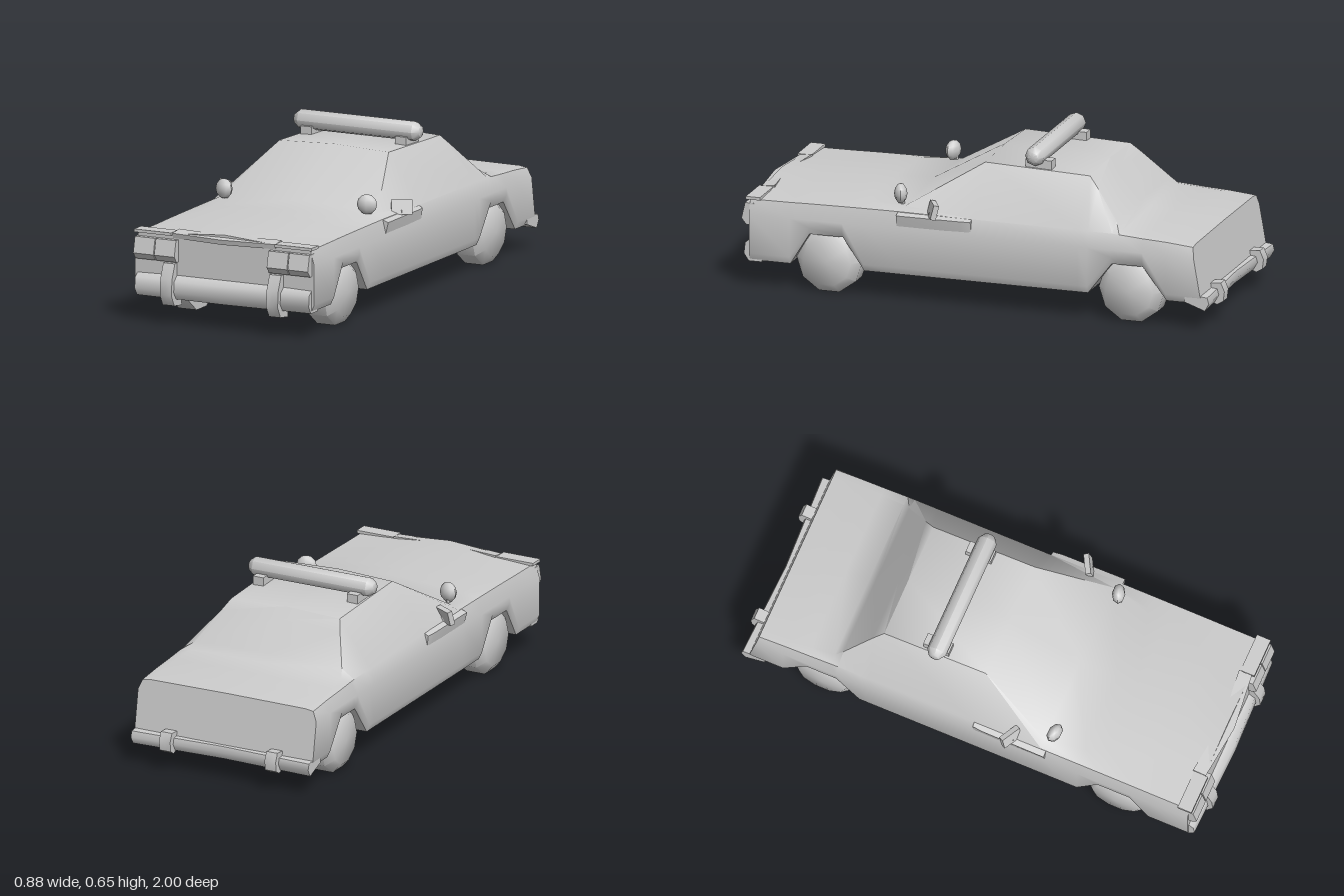
import * as THREE from 'three';
import { toCreasedNormals } from 'three/addons/utils/BufferGeometryUtils.js';

const paint = new THREE.MeshStandardMaterial({ color: 0xcccccc });
paint.name = 'light grey';

// Skin a row of rings (counter-clockwise seen from +z, running front to back) and cap both ends
function loft(rings) {
  const n = rings[0].length, pos = [], index = [];
  rings.forEach(r => r.forEach(p => pos.push(...p)));
  for (let i = 0; i < rings.length - 1; i++) {
    for (let j = 0; j < n; j++) {
      const a = i * n + j, b = i * n + (j + 1) % n;
      index.push(a, a + n, b, b, a + n, b + n);
    }
  }
  [0, rings.length - 1].forEach((row, end) => {
    const c = pos.length / 3;
    pos.push(...[0, 1, 2].map(k => rings[row].reduce((s, p) => s + p[k], 0) / n));
    for (let j = 0; j < n; j++) {
      const a = row * n + j, b = row * n + (j + 1) % n;
      index.push(...(end ? [c, b, a] : [c, a, b]));
    }
  });
  const g = new THREE.BufferGeometry();
  g.setAttribute('position', new THREE.Float32BufferAttribute(pos, 3));
  g.setIndex(index);
  return g;
}

// Side profile of [z, y] points, spread across x; bow shifts the middle along z
function sideProfile(points, width, bow = 0) {
  const shape = new THREE.Shape(points.map(p => new THREE.Vector2(...p)));
  const g = new THREE.ExtrudeGeometry(shape, { depth: width, steps: 2, bevelEnabled: false });
  g.translate(0, 0, -width / 2).rotateY(-Math.PI / 2);
  const p = g.attributes.position;
  for (let i = 0; i < p.count; i++) {
    p.setZ(i, p.getZ(i) + bow * (1 - Math.abs(p.getX(i)) / (width / 2)));
  }
  return g;
}

function mirrored(g) {
  const m = g.clone().scale(-1, 1, 1), index = [];
  for (let i = 0; i < m.attributes.position.count; i += 3) index.push(i, i + 2, i + 1);
  m.setIndex(index);
  return m;
}

export function createModel() {
  const car = new THREE.Group();
  car.name = 'car';
  const add = (name, geometry, crease = 0.7) => {
    const mesh = new THREE.Mesh(toCreasedNormals(geometry, crease), paint);
    mesh.name = name;
    car.add(mesh);
    return mesh;
  };
  const addPair = (name, geometry, crease) => {
    const left = add(name + 'Left', geometry, crease);
    const right = new THREE.Mesh(mirrored(left.geometry), paint);
    right.name = name + 'Right';
    car.add(right);
  };

  // Body stations: z, underside y, shoulder y, upper edge x, upper edge y, centre y
  const stations = [
    [0.95, 0.11, 0.36, 0.23, 0.368, 0.385],
    [0.78, 0.11, 0.362, 0.24, 0.372, 0.39],
    [0.70, 0.24, 0.364, 0.26, 0.375, 0.392],
    [0.56, 0.24, 0.366, 0.29, 0.378, 0.395],
    [0.47, 0.11, 0.367, 0.32, 0.38, 0.397],
    [0.31, 0.11, 0.368, 0.35, 0.385, 0.405],
    [0.01, 0.11, 0.366, 0.245, 0.565, 0.575],
    [-0.43, 0.11, 0.364, 0.245, 0.55, 0.56],
    [-0.47, 0.11, 0.364, 0.268, 0.51, 0.518],
    [-0.57, 0.24, 0.364, 0.33, 0.40, 0.407],
    [-0.60, 0.24, 0.362, 0.345, 0.37, 0.375],
    [-0.70, 0.24, 0.355, 0.35, 0.362, 0.366],
    [-0.80, 0.11, 0.35, 0.35, 0.355, 0.358],
    [-0.91, 0.11, 0.34, 0.35, 0.345, 0.347],
  ];
  const rings = stations.map(([z, under, shoulder, edgeX, edgeY, mid], i) => {
    const half = [[0, under], [0.388, under], [0.402, under + 0.03], [0.402, 0.30],
      [0.385, shoulder], [edgeX, edgeY], [0, mid]];
    const ring = [...half, ...half.slice(1, 6).reverse().map(([x, y]) => [-x, y])];
    const last = i === stations.length - 1;
    return ring.map(([x, y]) => [x, y, last ? z - 0.035 * (0.345 - y) / 0.2 : z]);
  });
  add('body', loft(rings), 0.75);

  // Pointed lip along the front of the bonnet
  add('bonnetLip', sideProfile([[0.90, 0.355], [0.95, 0.35], [0.955, 0.37], [0.90, 0.378]], 0.46, 0.025));
  addPair('lampHood', new THREE.BoxGeometry(0.165, 0.012, 0.06).translate(0.315, 0.367, 0.935));

  // Ledge along the upper front door
  const ledge = (z, k) => [[0.395, 0.295, z], [0.402 + 0.008 * k, 0.357, z], [0.375, 0.37, z]];
  addPair('doorLedge', loft([ledge(0.33, 1), ledge(0.06, 0.6), ledge(0.02, 0)]), 0.3);

  // Paired square headlights
  for (const x of [0.252, 0.346]) {
    addPair('headlight', sideProfile(
      [[0.93, 0.255], [0.965, 0.255], [0.985, 0.28], [0.97, 0.345], [0.93, 0.345]], 0.09).translate(x, 0, 0));
  }

  // Bumpers and their uprights
  add('frontBumper', sideProfile(
    [[0.90, 0.105], [0.955, 0.105], [0.975, 0.135], [0.97, 0.18], [0.945, 0.20], [0.90, 0.20]], 0.78, 0.012), 0.9);
  addPair('frontBumperUpright', sideProfile(
    [[0.91, 0.072], [0.975, 0.08], [1, 0.125], [0.995, 0.19], [0.97, 0.25], [0.93, 0.25]], 0.052)
    .translate(0.238, 0, 0), 0.9);
  add('rearBumper', sideProfile(
    [[-0.88, 0.115], [-0.965, 0.085], [-0.982, 0.115], [-0.975, 0.14], [-0.88, 0.15]], 0.80, 0.015), 0.9);
  addPair('rearBumperUpright', sideProfile(
    [[-0.90, 0.10], [-0.97, 0.075], [-0.995, 0.09], [-1, 0.13], [-0.985, 0.165], [-0.92, 0.16]], 0.05)
    .translate(0.238, 0, 0), 0.9);

  // Wheels with domed outer faces, and axles
  const tyre = [[0, 0.27], [0.137, 0.27], [0.137, 0.35], [0.10, 0.382], [0, 0.39]];
  for (const [name, z] of [['front', 0.63], ['rear', -0.64]]) {
    const wheel = new THREE.LatheGeometry(tyre.map(p => new THREE.Vector2(...p)), 10);
    addPair(name + 'Wheel', wheel.rotateZ(-Math.PI / 2).translate(0, 0.13, z), 0.9);
    const axle = new THREE.CylinderGeometry(0.075, 0.075, 0.55, 8);
    add(name + 'Axle', axle.rotateY(Math.PI / 8).rotateZ(Math.PI / 2).translate(0, 0.13, z));
  }

  // Roof light bar with tapered ends, on two feet
  const bar = [[0, -0.282], [0.022, -0.28], [0.04, -0.255], [0.04, 0.255], [0.022, 0.28], [0, 0.282]];
  add('roofLightBar', new THREE.LatheGeometry(bar.map(p => new THREE.Vector2(...p)), 8)
    .rotateZ(-Math.PI / 2).translate(0, 0.611, -0.2), 0.9);
  addPair('lightBarFoot', new THREE.BoxGeometry(0.048, 0.045, 0.11).translate(0.212, 0.57, -0.21));

  // Spotlights at the windscreen corners
  addPair('spotlight', new THREE.SphereGeometry(0.041, 8, 6).scale(1, 1, 0.65)
    .rotateY(0.3).translate(0.32, 0.425, 0.34), 0.9);
  addPair('spotlightStem', new THREE.CylinderGeometry(0.01, 0.01, 0.05, 6).translate(0.325, 0.385, 0.33));

  // Door mirrors, swept back
  addPair('doorMirror', new THREE.BoxGeometry(0.085, 0.06, 0.022)
    .rotateX(-0.25).rotateY(-0.5 + 1).translate(0.393, 0.39, 0.18));
  addPair('doorMirrorStem', new THREE.BoxGeometry(0.03, 0.03, 0.02).translate(0.385, 0.365, 0.185));

  return car;
}
